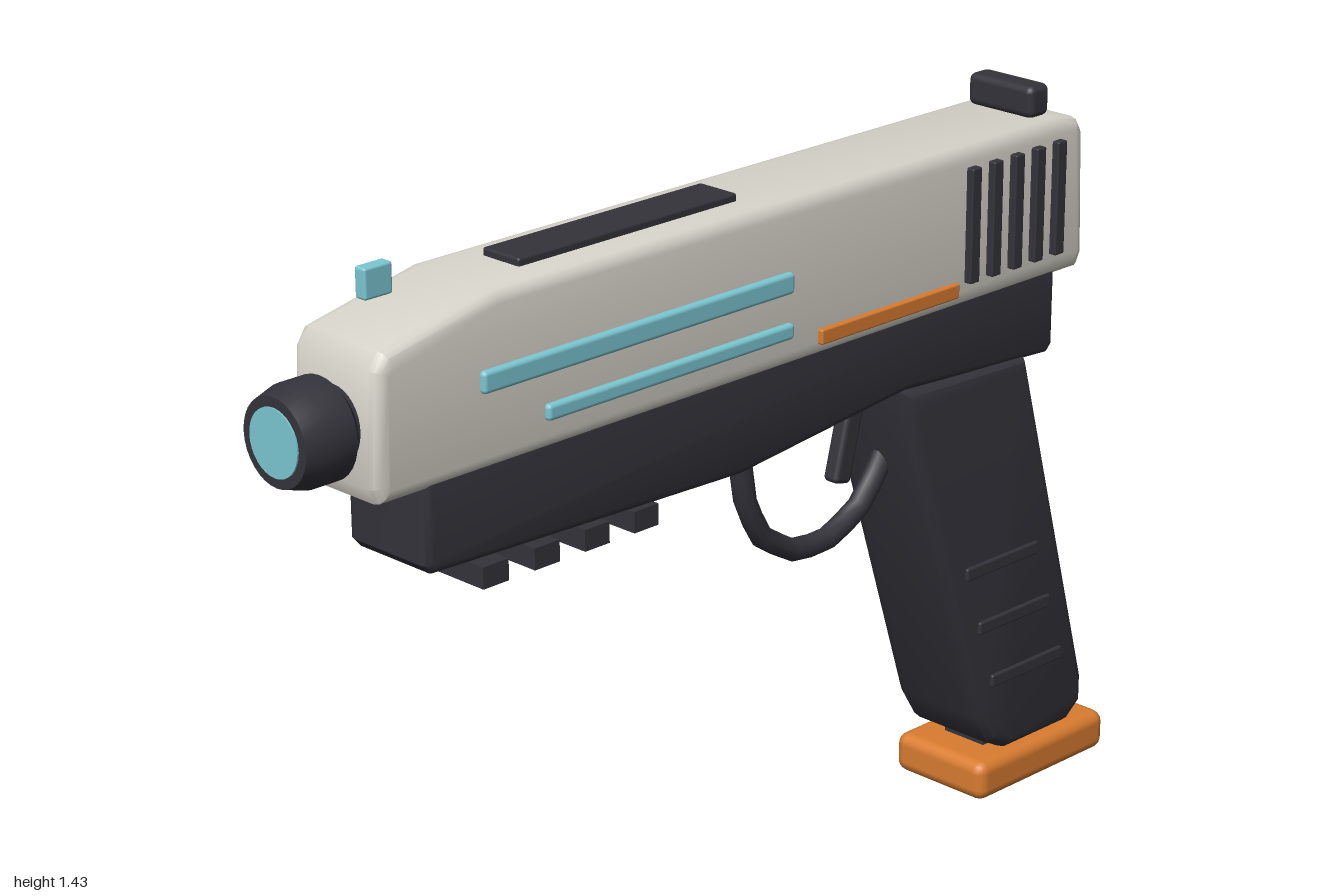
import * as THREE from 'three';
import { toCreasedNormals } from 'three/addons/utils/BufferGeometryUtils.js';
import { RoundedBoxGeometry } from 'three/addons/geometries/RoundedBoxGeometry.js';

const material = (name, color) => {
  const m = new THREE.MeshStandardMaterial({ color });
  m.name = name;
  return m;
};

export function createModel() {
  const model = new THREE.Group();
  model.name = 'toyBlaster';
  const shell = material('warm white', 0xd8d5cb);
  const dark = material('charcoal', 0x34333b);
  const teal = material('teal', 0x7cc8d3);
  const orange = material('orange', 0xd97c30);

  const add = (name, geometry, mat) => {
    const mesh = new THREE.Mesh(geometry, mat);
    mesh.name = name;
    model.add(mesh);
    return mesh;
  };

  // Side outline of [z, y] points, extruded across x with rounded edges
  const profile = (name, points, width, bevel, mat, thickness = bevel) => {
    const shape = new THREE.Shape(points.map(([z, y]) => new THREE.Vector2(z, y)));
    const depth = width - 2 * thickness;
    const geo = new THREE.ExtrudeGeometry(shape, {
      depth, bevelEnabled: true, bevelSize: bevel, bevelOffset: -bevel,
      bevelThickness: thickness, bevelSegments: 3,
    });
    geo.translate(0, 0, -depth / 2).rotateY(-Math.PI / 2);
    return add(name, toCreasedNormals(geo, 0.6), mat);
  };

  // Box from its y and z limits, with a small rounding where given
  const box = (name, x, width, [y0, y1], [z0, z1], mat, radius = 0) => {
    const size = [width, y1 - y0, z1 - z0];
    const geo = radius ? new RoundedBoxGeometry(...size, 2, radius) : new THREE.BoxGeometry(...size);
    const mesh = add(name, geo, mat);
    mesh.position.set(x, (y0 + y1) / 2, (z0 + z1) / 2);
    return mesh;
  };

  // Main body
  profile('slide', [
    [0.865, 1.06], [0.88, 1.09], [0.87, 1.29], [0.85, 1.32], [0.61, 1.37],
    [-0.80, 1.37], [-0.865, 1.355], [-0.88, 1.33], [-0.89, 1.09], [-0.875, 1.06],
  ], 0.215, 0.025, shell);
  profile('frame', [
    [0.77, 1.08], [0.77, 0.925], [0.755, 0.908], [0.03, 0.885], [-0.40, 0.93],
    [-0.80, 0.905], [-0.815, 0.92], [-0.815, 1.08],
  ], 0.2, 0.015, dark);
  profile('grip', [
    [-0.39, 0.93], [-0.40, 0.87], [-0.615, 0.20], [-0.655, 0.135], [-0.71, 0.105],
    [-0.89, 0.105], [-0.935, 0.14], [-0.935, 0.20], [-0.735, 0.92],
  ], 0.22, 0.026, dark, 0.032);

  // Muzzle with glowing tip
  const muzzle = new THREE.LatheGeometry([
    [0, 0.84], [0.068, 0.84], [0.068, 0.88], [0.09, 0.90], [0.09, 0.955],
    [0.078, 0.997], [0, 0.997],
  ].map(([r, z]) => new THREE.Vector2(r, z)), 32).rotateX(Math.PI / 2);
  add('muzzle', toCreasedNormals(muzzle, 0.4), dark).position.y = 1.18;
  add('muzzleTip', new THREE.CylinderGeometry(0.06, 0.06, 0.008, 32).rotateX(Math.PI / 2), teal)
    .position.set(0, 1.18, 0.996);

  // Sights and top plate
  box('frontSight', 0, 0.026, [1.375, 1.43], [0.75, 0.81], teal, 0.005);
  box('rearSight', 0, 0.158, [1.368, 1.43], [-0.807, -0.752], dark, 0.014);
  box('topPlate', 0, 0.09, [1.36, 1.384], [-0.01, 0.505], dark, 0.005);

  // Side trim on both flanks
  for (const s of [1, -1]) {
    box('upperStripe', s * 0.109, 0.02, [1.20, 1.24], [-0.082, 0.652], teal, 0.008);
    box('lowerStripe', s * 0.109, 0.02, [1.116, 1.146], [-0.082, 0.51], teal, 0.008);
    box('accentStripe', s * 0.109, 0.018, [1.086, 1.115], [-0.52, -0.152], orange, 0.004);
    for (let i = 0; i < 5; i++) {
      const z = -0.556 - i * 0.06;
      box('serration', s * 0.113, 0.02, [1.108, 1.328], [z - 0.0125, z + 0.0125], dark, 0.003);
    }
    for (let i = 0; i < 3; i++) {
      const y = 0.52 - i * 0.123, z = -0.667 - i * 0.041;
      box('gripRidge', s * 0.107, 0.02, [y - 0.013, y + 0.013], [z - 0.103, z + 0.103], dark, 0.004);
    }
  }

  // Accessory rail teeth
  for (let i = 0; i < 4; i++) {
    const z = 0.602 - i * 0.1175;
    box('railTooth', 0, 0.16, [0.84, 0.88], [z - 0.029, z + 0.029], dark);
  }

  // Trigger and guard
  const trigger = box('trigger', 0, 0.036, [0.745, 0.905], [-0.362, -0.318], dark, 0.01);
  trigger.rotation.x = -0.25;
  const guardPath = new THREE.CurvePath();
  const guardPoints = [
    [0.92, -0.055], [0.87, -0.062], [0.765, -0.08], [0.69, -0.125], [0.645, -0.205],
    [0.638, -0.285], [0.675, -0.375], [0.745, -0.435], [0.80, -0.46],
  ].map(([y, z]) => new THREE.Vector3(0, y, z));
  for (let i = 1; i < guardPoints.length; i++) {
    guardPath.add(new THREE.LineCurve3(guardPoints[i - 1], guardPoints[i]));
  }
  add('triggerGuard', new THREE.TubeGeometry(
    new THREE.CatmullRomCurve3(guardPath.getSpacedPoints(14)), 14, 0.022, 10), dark);

  // Magazine base
  box('magazineNeck', 0, 0.1, [0.08, 0.13], [-0.89, -0.70], dark);
  box('magazineBase', 0, 0.23, [0.018, 0.10], [-1, -0.622], orange, 0.024);
  box('basePlate', 0, 0.12, [0, 0.022], [-0.915, -0.70], teal);

  return model;
}
